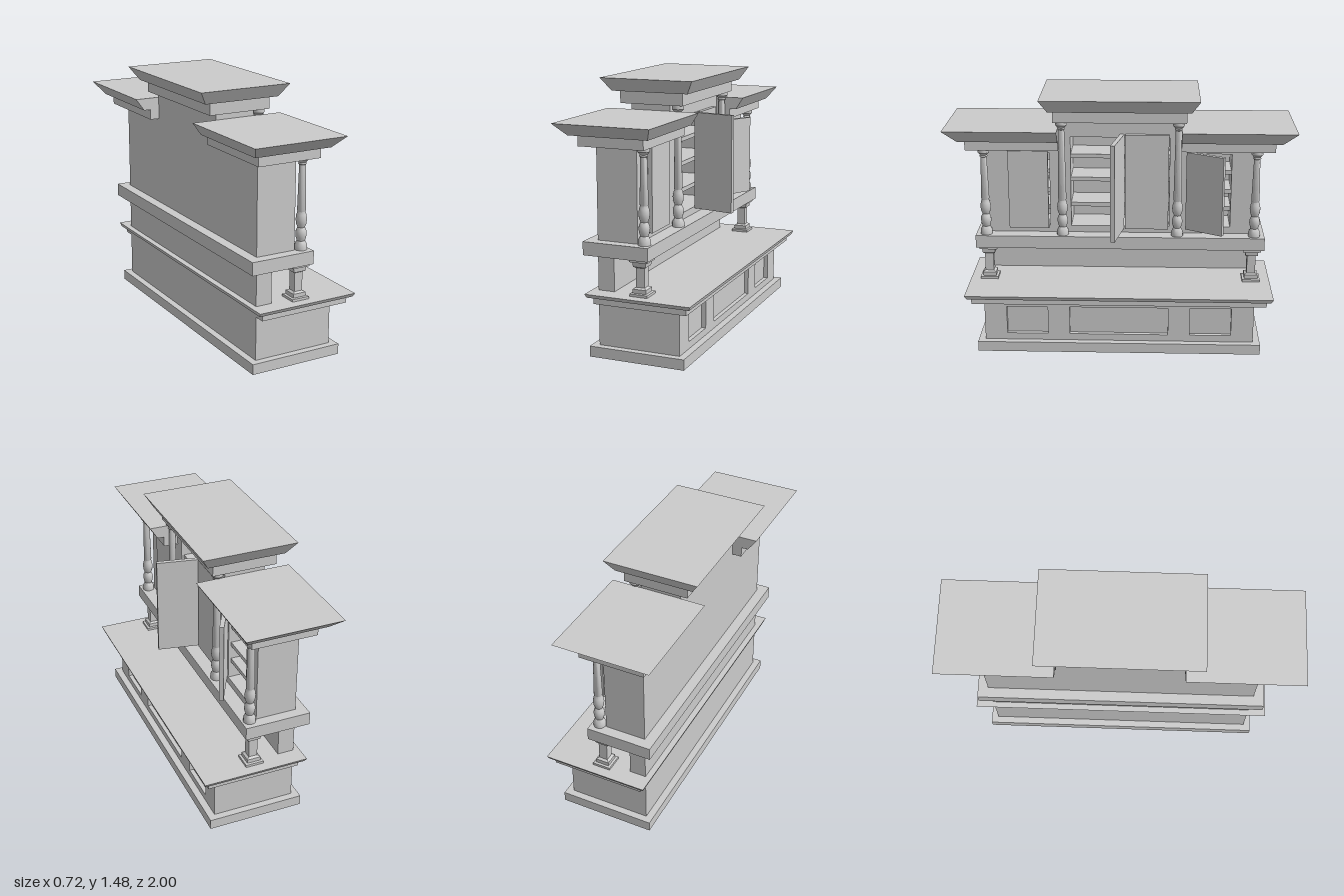
import * as THREE from 'three';
import { toCreasedNormals } from 'three/addons/utils/BufferGeometryUtils.js';

const material = new THREE.MeshStandardMaterial({ color: 0xcccccc });

export function createModel() {
  const group = new THREE.Group();
  const add = (name, geometry, parent = group) => {
    const mesh = new THREE.Mesh(geometry, material);
    mesh.name = name;
    parent.add(mesh);
    return mesh;
  };

  // Box given by its limits on each axis
  const block = (x0, x1, y0, y1, z0, z1) =>
    new THREE.BoxGeometry(x1 - x0, y1 - y0, z1 - z0)
      .translate((x0 + x1) / 2, (y0 + y1) / 2, (z0 + z1) / 2);

  // Box whose top rectangle differs from its bottom one; rectangles are [x0, x1, z0, z1]
  const flared = (y0, y1, bottom, top) => {
    const g = new THREE.BoxGeometry(1, 1, 1);
    const p = g.attributes.position;
    for (let i = 0; i < p.count; i++) {
      const up = p.getY(i) > 0;
      const r = up ? top : bottom;
      p.setXYZ(i, r[p.getX(i) > 0 ? 1 : 0], up ? y1 : y0, r[p.getZ(i) > 0 ? 3 : 2]);
    }
    g.computeVertexNormals();
    return g;
  };

  // Upright board facing +x, with rectangular holes [z0, z1, y0, y1]
  const pierced = (x0, x1, outline, holes) => {
    const shape = new THREE.Shape(outline.map(([z, y]) => new THREE.Vector2(-z, y)));
    for (const [z0, z1, y0, y1] of holes) {
      shape.holes.push(new THREE.Path([[z0, y0], [z0, y1], [z1, y1], [z1, y0]]
        .map(([z, y]) => new THREE.Vector2(-z, y))));
    }
    return new THREE.ExtrudeGeometry(shape, { depth: x1 - x0, bevelEnabled: false })
      .rotateY(Math.PI / 2).translate(x0, 0, 0);
  };

  const lathe = (profile, sides, crease) => toCreasedNormals(
    new THREE.LatheGeometry(profile.map(([r, y]) => new THREE.Vector2(r, y)), sides), crease);

  // Lower chest with recessed front panels
  add('plinth', block(-0.255, 0.3, 0, 0.06, -0.825, 0.825));
  add('chestBody', block(-0.215, 0.235, 0.06, 0.315, -0.785, 0.785));
  add('chestFront', pierced(0.235, 0.26,
    [[-0.785, 0.06], [0.785, 0.06], [0.785, 0.315], [-0.785, 0.315]],
    [[0.415, 0.655, 0.1, 0.27], [-0.287, 0.287, 0.1, 0.27], [-0.655, -0.415, 0.1, 0.27]]));
  add('chestMoulding', block(-0.215, 0.325, 0.312, 0.35, -0.85, 0.85));
  add('countertop', flared(0.35, 0.372,
    [-0.243, 0.35, -0.872, 0.872], [-0.25, 0.358, -0.885, 0.885]));

  // Open niche between chest and upper cabinet
  add('nicheBack', block(-0.215, -0.12, 0.372, 0.575, -0.785, 0.785));
  add('shelfSlab', block(-0.275, 0.105, 0.575, 0.65, -0.845, 0.845));
  const postProfile = [[0, 0.372], [0.052, 0.372], [0.052, 0.386], [0.039, 0.388],
    [0.039, 0.41], [0.025, 0.418], [0.025, 0.525], [0.036, 0.532], [0.039, 0.558],
    [0.052, 0.56], [0.052, 0.575], [0, 0.575]].map(([r, y]) => [r * Math.SQRT2, y]);
  for (const z of [-0.775, 0.775]) {
    add('nichePost', lathe(postProfile, 4, 0.1)
      .rotateY(Math.PI / 4).translate(0.04, 0, z));
  }

  // Upper cabinet: stepped body with three door openings
  const outline = [[-0.785, 0.65], [0.785, 0.65], [0.785, 1.17], [0.35, 1.17],
    [0.35, 1.335], [-0.35, 1.335], [-0.35, 1.17], [-0.785, 1.17]];
  const openings = [[0.41, 0.645, 0.69, 1.135], [-0.287, 0.287, 0.69, 1.23],
    [-0.645, -0.41, 0.69, 1.135]];
  add('cabinetBody', pierced(-0.18, 0.02, outline, openings));
  add('cabinetBack', pierced(-0.215, -0.18, outline, []));
  const shelfHeights = [[0.80, 0.905, 1.02], [0.817, 0.972, 1.112], [0.80, 0.905, 1.02]];
  openings.forEach(([z0, z1], i) => {
    for (const y of shelfHeights[i]) {
      add('shelf', block(-0.18, 0.005, y - 0.012, y + 0.012, z0, z1));
    }
  });

  // Doors, hinged at z; dir is the way they close, angle how far they stand open
  const door = (name, z, dir, width, top, angle) => {
    const hinge = new THREE.Group();
    hinge.name = name;
    hinge.position.set(0.02, 0, z);
    hinge.rotation.y = -dir * -angle;
    const [z0, z1] = dir > 0 ? [0, width] : [-width, 0];
    add('doorPanel', block(0, 0.025, 0.68, top, z0, z1), hinge);
    group.add(hinge);
  };
  door('leftDoor', 0.65, -1, 0.232, 1.15, 0);
  door('rightDoor', -0.395, -1, 0.235, 1.15, 0.5);
  door('centreRightDoor', -0.03, -1, 0.252, 1.25, 0);
  door('centreLeftDoor', 0, 1, 0.254, 1.25, Math.PI / 2 - 0.19);

  // Turned columns; the lower turning is shared, only the shaft length varies
  const column = (z, top) => {
    const points = [[0, 0.65], [0.034, 0.65], [0.034, 0.677], [0.022, 0.7],
      [0.028, 0.718], [0.031, 0.738], [0.028, 0.757], [0.02, 0.775],
      [0.028, 0.795], [0.031, 0.82], [0.027, 0.845], [0.021, 0.862],
      [0.024, 0.87], [0.018, top - 0.05], [0.024, top - 0.045], [0.02, top - 0.038],
      [0.03, top - 0.026], [0.034, top - 0.022], [0.034, top], [0, top]];
    add('column', lathe(points, 16, 0.7).translate(0.06, 0, z));
  };

  // Mirrored wings: cornices and columns
  for (const s of [-1, 1]) {
    const span = (a, b) => (s > 0 ? [a, b] : [-b, -a]);
    column(s * 0.785, 1.17);
    column(s * 0.335, 1.335);
    add('wingFrieze', block(-0.27, 0.105, 1.17, 1.23, ...span(0.352, 0.885)));
    add('wingCornice', flared(1.23, 1.3,
      [-0.31, 0.145, ...span(0.352, 0.92)], [-0.36, 0.19, ...span(0.352, 1)]));
  }

  // Raised centre cornice
  add('centreFrieze', block(-0.27, 0.105, 1.335, 1.405, -0.38, 0.38));
  add('centreCornice', flared(1.405, 1.48,
    [-0.31, 0.145, -0.405, 0.405], [-0.36, 0.19, -0.452, 0.452]));

  return group;
}
